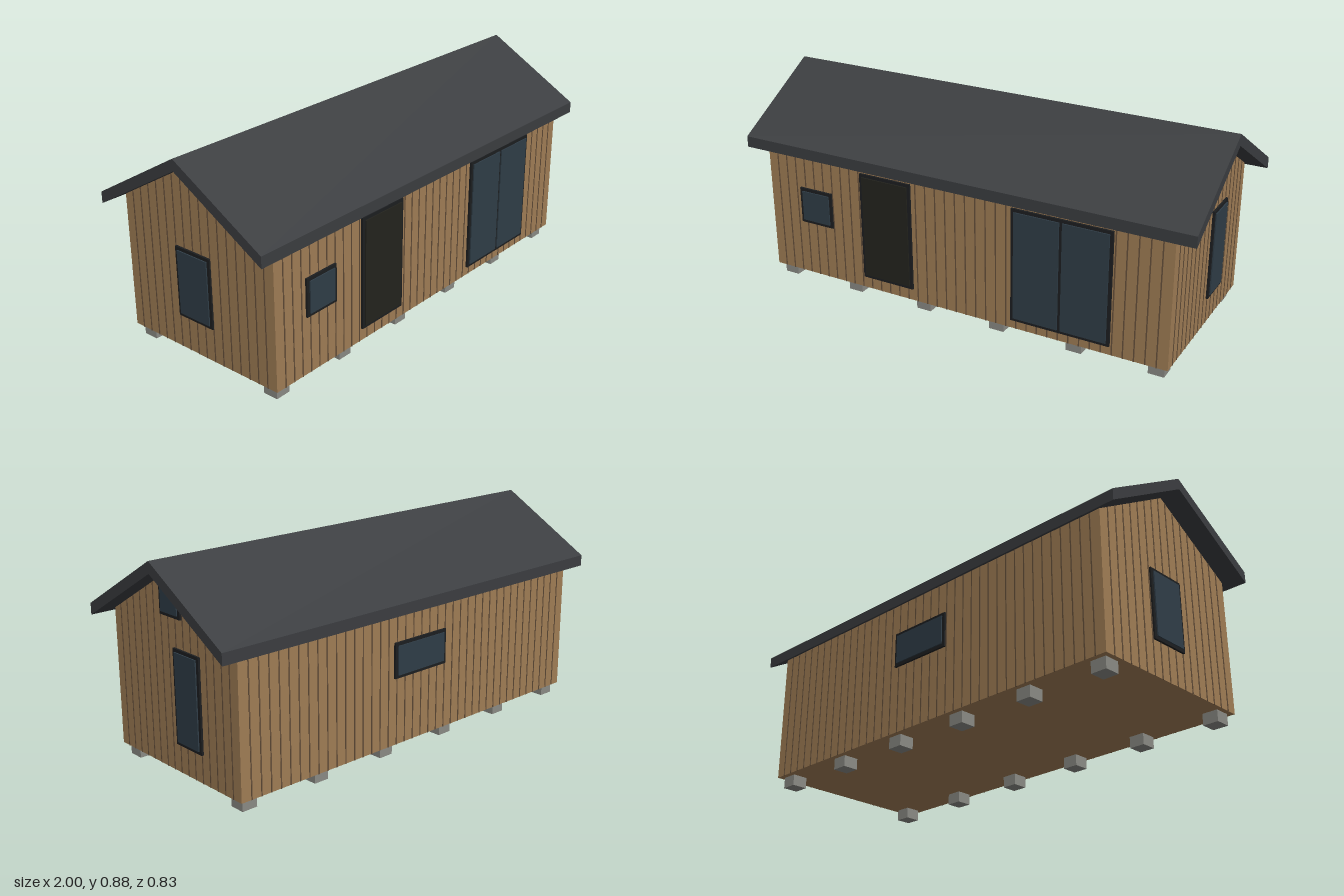
import * as THREE from 'three';

const mat = (color) => new THREE.MeshStandardMaterial({ color });

export function createModel() {
  const group = new THREE.Group();
  const wood = mat(0xa07d55), seamMat = mat(0x66503a), roofMat = mat(0x3b3d40);
  const frameMat = mat(0x1c1e20), glassMat = mat(0x2f3d47), doorMat = mat(0x23231d), pierMat = mat(0x8a8a84);

  const HX = 0.913, HZ = 0.383, FLOOR = 0.047, RIDGE = 0.83, SLOPE = 0.578;
  const underRoof = (z) => RIDGE - SLOPE * Math.abs(z);

  const box = (parent, name, material, w, h, d, x, y, z) => {
    const m = new THREE.Mesh(new THREE.BoxGeometry(w, h, d), material);
    m.name = name;
    m.position.set(x, y, z);
    parent.add(m);
  };

  // Profile across the house, extruded along x
  const extrudeAlongX = (name, points, length, material) => {
    const shape = new THREE.Shape(points.map(([z, y]) => new THREE.Vector2(z, y)));
    const geo = new THREE.ExtrudeGeometry(shape, { depth: length, bevelEnabled: false });
    geo.translate(0, 0, -length / 2).rotateY(Math.PI / 2);
    const m = new THREE.Mesh(geo, material);
    m.name = name;
    group.add(m);
  };

  // Walls and gables in one body
  const eave = underRoof(HZ);
  extrudeAlongX('walls', [[-HZ, FLOOR], [HZ, FLOOR], [HZ, eave], [0, RIDGE], [-HZ, eave]], 2 * HX, wood);

  // Pitched roof with overhang
  const RZ = 0.415, T = 0.047, low = underRoof(RZ);
  extrudeAlongX('roof', [[-RZ, low], [0, RIDGE], [RZ, low], [RZ, low + T], [0, RIDGE + T], [-RZ, low + T]], 2, roofMat);

  // Dark seams between the vertical boards
  const seams = new THREE.Group();
  seams.name = 'boardSeams';
  group.add(seams);
  const SW = 0.005, PROUD = 0.004;
  for (const side of [-1, 1]) {
    for (let i = 1; i < 40; i++) {
      const x = -HX + (2 * HX * i) / 40;
      box(seams, 'longWallSeam', seamMat, SW, eave - FLOOR, PROUD, x, (eave + FLOOR) / 2, side * HZ);
    }
    for (let i = 1; i < 17; i++) {
      const z = -HZ + (2 * HZ * i) / 17, top = underRoof(z);
      box(seams, 'gableSeam', seamMat, PROUD, top - FLOOR, SW, side * HX, (top + FLOOR) / 2, z);
    }
  }

  // Framed opening: local z points out of the wall, panes sit slightly proud of the frame
  const opening = (name, w, h, position, turn, panes = 1, paneMat = glassMat) => {
    const g = new THREE.Group();
    g.name = name;
    const rim = 0.013;
    box(g, 'frame', frameMat, w, h, 0.018, 0, 0, 0);
    const pw = (w - rim * (panes + 1)) / panes;
    for (let i = 0; i < panes; i++) {
      const x = -w / 2 + rim + pw / 2 + i * (pw + rim);
      box(g, 'pane', paneMat, pw, h - 2 * rim, 0.014, x, 0, 0.007);
    }
    g.position.set(...position);
    g.rotation.y = turn;
    group.add(g);
  };
  const quarter = Math.PI / 2;
  opening('smallFrontWindow', 0.16, 0.157, [-0.675, 0.366, HZ], 0);
  opening('frontDoor', 0.242, 0.47, [-0.325, 0.335, HZ], 0, 1, doorMat);
  opening('slidingGlassDoor', 0.424, 0.485, [0.465, 0.328, HZ], 0, 2);
  opening('backWindow', 0.287, 0.147, [0.01, 0.402, -HZ], Math.PI);
  opening('tallGableWindow', 0.156, 0.378, [HX, 0.352, -0.087], quarter);
  opening('upperGableWindow', 0.126, 0.127, [HX, 0.719, 0], quarter);
  opening('otherGableWindow', 0.18, 0.29, [-HX, 0.335, -0.02], -quarter);

  // Foundation piers
  for (const z of [-0.328, 0.328]) {
    for (let i = 0; i < 6; i++) {
      box(group, 'pier', pierMat, 0.066, FLOOR, 0.066, -0.86 + i * 0.344, FLOOR / 2, z);
    }
  }
  return group;
}
